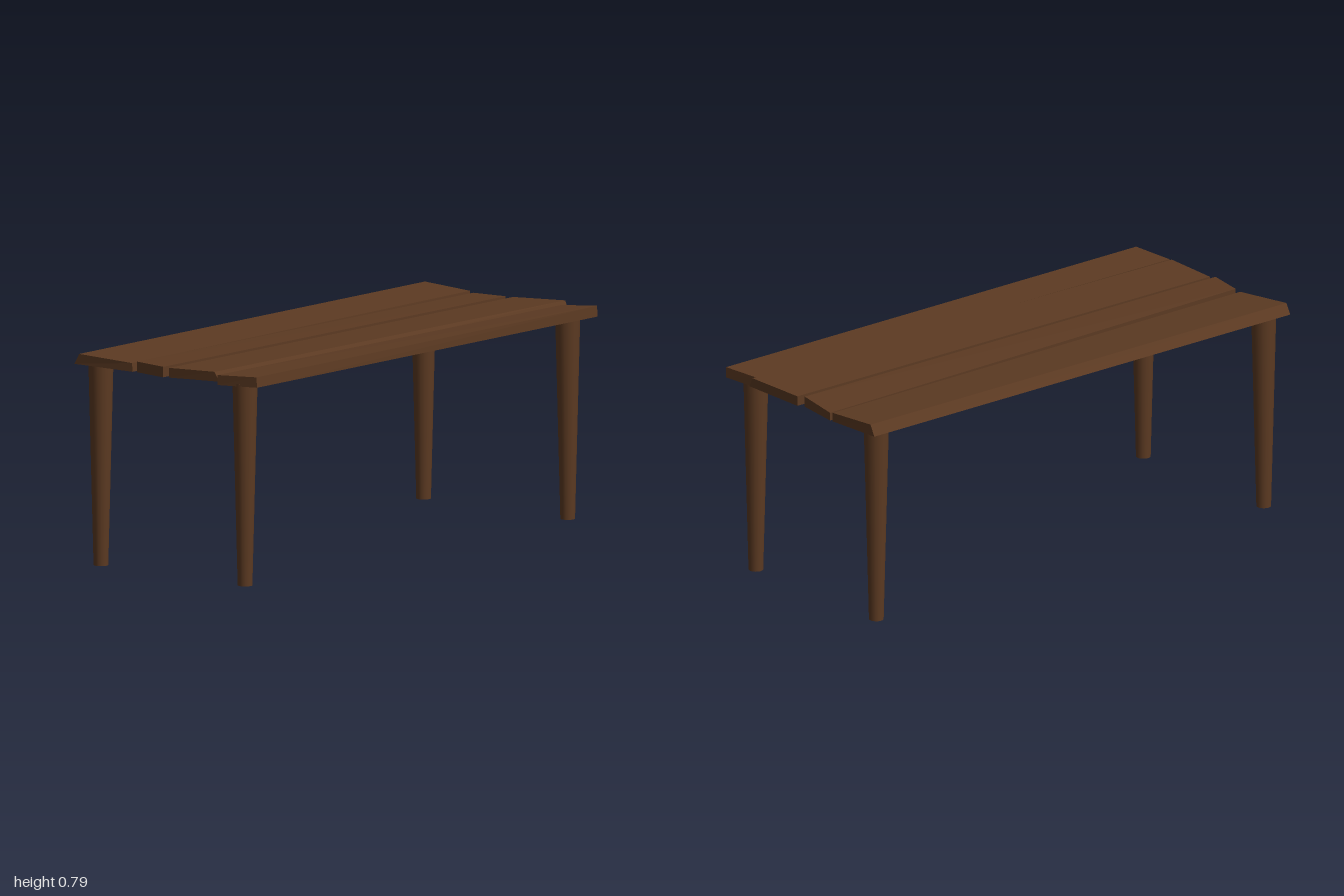
import * as THREE from 'three';

const wood = new THREE.MeshStandardMaterial({ color: 0x5c3a22 });
wood.name = 'darkWood';

// Plank from two end sections; each lists [x, y, z] as
// bottom left, bottom right, top right, top left.
function plank(name, front, back) {
  const f = front, b = back;
  const quads = [
    [f[0], f[1], f[2], f[3]], // front end
    [b[1], b[0], b[3], b[2]], // back end
    [f[3], f[2], b[2], b[3]], // top
    [b[0], b[1], f[1], f[0]], // underside
    [b[0], f[0], f[3], b[3]], // left edge
    [f[1], b[1], b[2], f[2]], // right edge
  ];
  const pos = [];
  for (const [p, q, r, s] of quads) pos.push(...p, ...q, ...r, ...p, ...r, ...s);
  const g = new THREE.BufferGeometry();
  g.setAttribute('position', new THREE.Float32BufferAttribute(pos, 3));
  g.computeVertexNormals();
  const mesh = new THREE.Mesh(g, wood);
  mesh.name = name;
  return mesh;
}

// Round tapered leg with a closed foot
function leg(name, x, z) {
  const g = new THREE.CylinderGeometry(0.046, 0.027, 0.75, 16);
  const mesh = new THREE.Mesh(g, wood);
  mesh.name = name;
  mesh.position.set(x, 0.375, z);
  return mesh;
}

export function createModel() {
  const table = new THREE.Group();
  table.name = 'plankTable';

  // Uneven top boards
  table.add(
    plank('outerRightPlank',
      [[-0.415, 0.745, 1.0], [-0.165, 0.739, 0.97], [-0.168, 0.771, 0.97], [-0.393, 0.784, 1.0]],
      [[-0.421, 0.745, -0.985], [-0.19, 0.741, -0.99], [-0.192, 0.774, -0.99], [-0.4, 0.786, -0.985]]),
    plank('innerRightPlank',
      [[-0.148, 0.739, 0.965], [-0.004, 0.739, 0.99], [-0.004, 0.778, 0.99], [-0.148, 0.778, 0.965]],
      [[-0.175, 0.739, -0.988], [-0.004, 0.739, -0.965], [-0.004, 0.778, -0.965], [-0.175, 0.769, -0.988]]),
    plank('innerLeftPlank',
      [[0.016, 0.739, 0.98], [0.25, 0.749, 0.976], [0.227, 0.783, 0.976], [0.016, 0.775, 0.98]],
      [[0.02, 0.739, -0.98], [0.267, 0.75, -1.0], [0.25, 0.786, -1.0], [0.02, 0.776, -0.98]]),
    plank('outerLeftPlank',
      [[0.25, 0.738, 0.986], [0.42, 0.744, 0.966], [0.416, 0.782, 0.966], [0.25, 0.775, 0.986]],
      [[0.266, 0.735, -0.965], [0.407, 0.744, -0.995], [0.405, 0.784, -0.995], [0.262, 0.775, -0.965]]),
  );

  // Four legs
  for (const [xName, x] of [['Right', -0.347], ['Left', 0.334]])
    for (const [zName, z] of [['front', 0.931], ['back', -0.913]])
      table.add(leg(`${zName}${xName}Leg`, x, z));

  return table;
}
